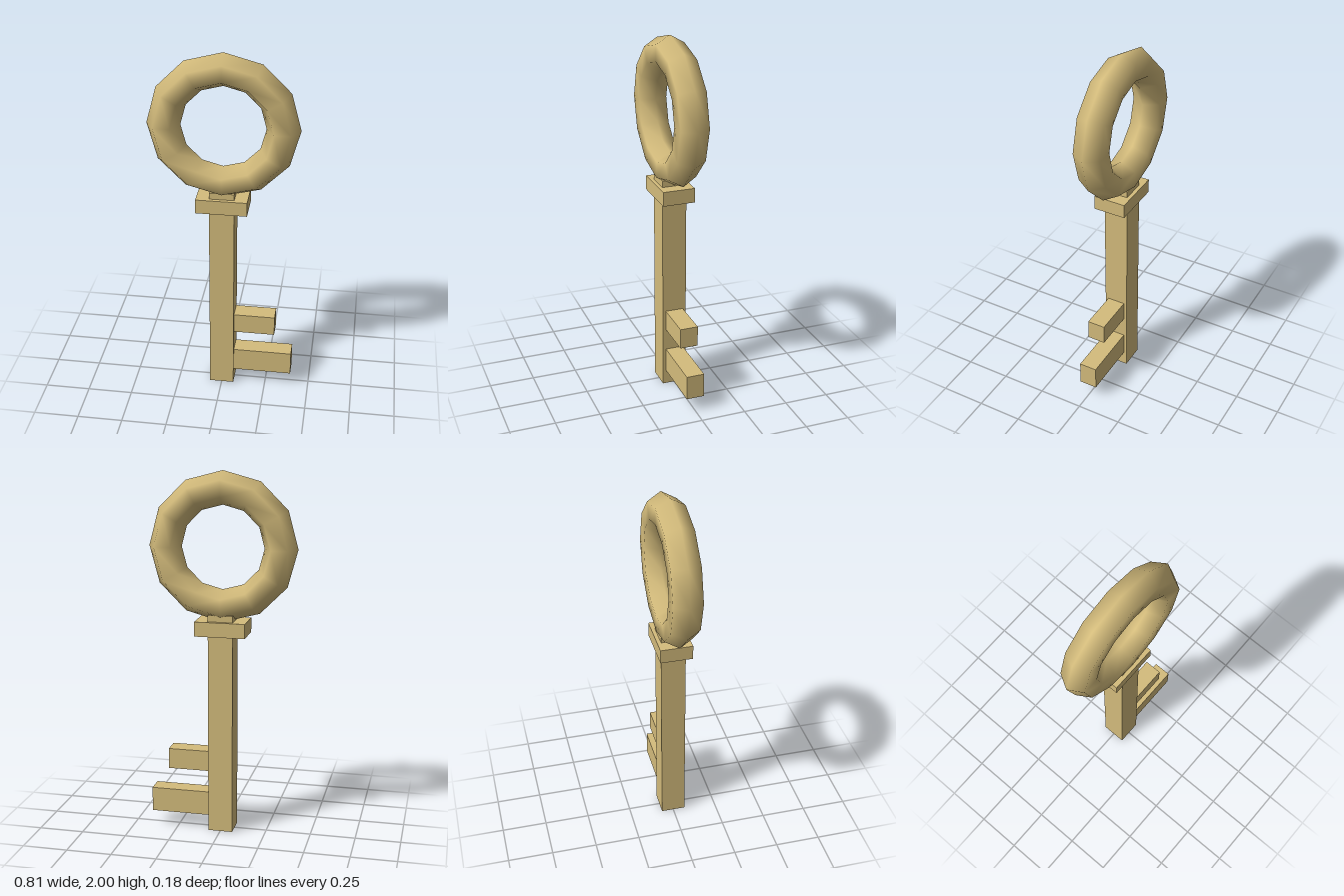
import * as THREE from 'three';

export function createModel() {
  const key = new THREE.Group();
  key.name = 'key';
  const brass = new THREE.MeshStandardMaterial({ color: 0xd4bc7c });

  const add = (name, geometry, x, y) => {
    const mesh = new THREE.Mesh(geometry, brass);
    mesh.name = name;
    mesh.position.set(x, y, 0);
    key.add(mesh);
  };

  // Box given by its x and y limits, centred in depth
  const addBar = (name, x0, x1, y0, y1, depth) =>
    add(name, new THREE.BoxGeometry(x1 - x0, y1 - y0, depth), (x0 + x1) / 2, (y0 + y1) / 2);

  // Ring handle: six-sided tube in twelve segments
  add('bow', new THREE.TorusGeometry(0.316, 0.09, 6, 12), 0, 1.594);

  // Square shaft running up into the ring, with its collar
  addBar('shaft', -0.068, 0.068, 0, 1.235, 0.136);
  addBar('collar', -0.139, 0.139, 1.12, 1.2, 0.178);

  // Teeth, starting inside the shaft
  addBar('lowerTooth', 0.04, 0.397, 0.083, 0.22, 0.1);
  addBar('upperTooth', 0.04, 0.298, 0.345, 0.46, 0.1);

  return key;
}
